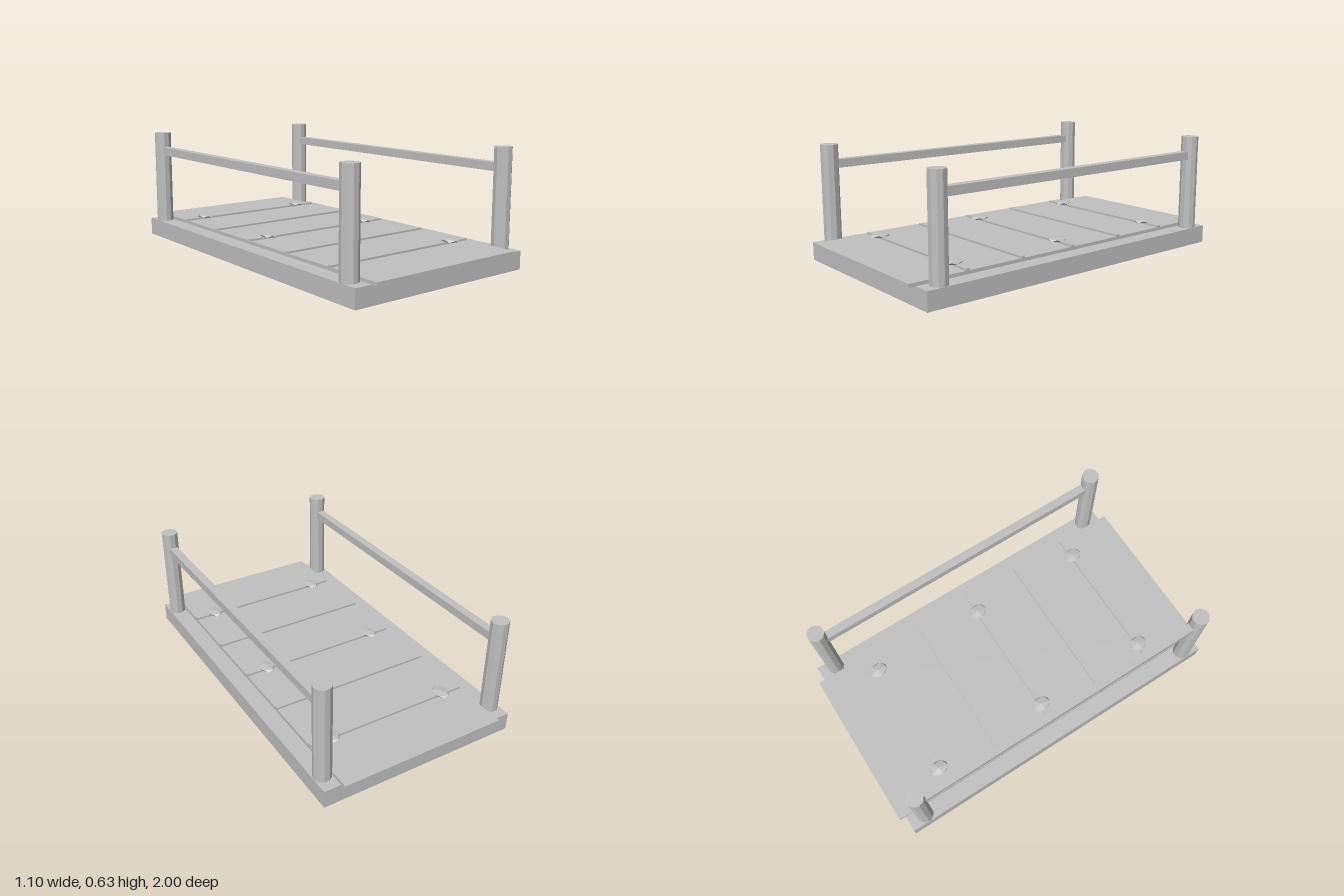
import * as THREE from 'three';

export function createModel() {
  const model = new THREE.Group();
  model.name = 'railedPlatform';
  const grey = new THREE.MeshStandardMaterial({ color: 0xc0c0c0, flatShading: true });
  grey.name = 'plain grey';

  const add = (name, geometry, x, y, z) => {
    const mesh = new THREE.Mesh(geometry, grey);
    mesh.name = name;
    mesh.position.set(x, y, z);
    model.add(mesh);
    return mesh;
  };
  // Box given by its full width and depth and its lower and upper height
  const slab = (name, w, d, y0, y1, x = 0, z = 0) =>
    add(name, new THREE.BoxGeometry(w, y1 - y0, d), x, (y0 + y1) / 2, z);

  // Base with a thin deck that overhangs both ends
  slab('base', 1.104, 1.93, 0, 0.098);
  slab('deck', 0.92, 2, 0.098, 0.116);

  // Raised battens across the deck
  for (let i = -2; i <= 2; i++) {
    slab('batten', 0.92, 0.024, 0.116, 0.126, 0, i * 0.338);
  }

  // Faceted, flattened studs on every other batten, one pole pointing up
  const stud = new THREE.IcosahedronGeometry(1, 0);
  stud.rotateZ(Math.atan(2 / (1 + Math.sqrt(5))));
  stud.scale(0.046, 0.012, 0.06);
  for (const x of [-0.338, 0.338]) {
    for (const z of [-0.676, 0, 0.676]) add('stud', stud, x, 0.131, z);
  }

  // Ten-sided corner posts joined by a rail along each side
  const post = new THREE.CylinderGeometry(0.047, 0.047, 0.53, 10);
  post.rotateY(Math.PI / 2);
  for (const x of [-0.505, 0.505]) {
    for (const z of [-0.869, 0.869]) add('post', post, x, 0.362, z);
    slab('rail', 0.046, 1.66, 0.498, 0.543, x);
  }

  return model;
}
